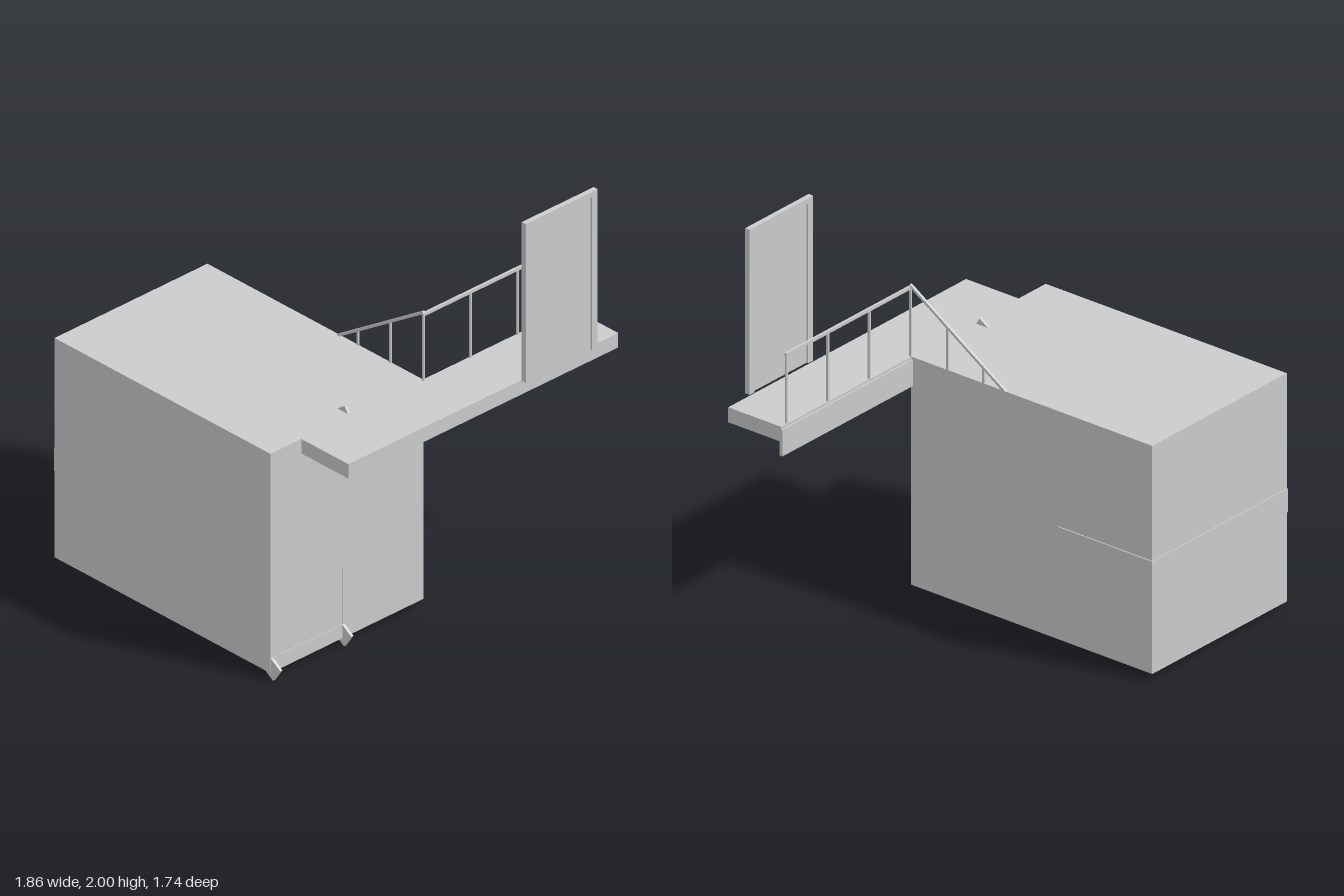
import * as THREE from 'three';

const material = new THREE.MeshStandardMaterial({ color: 0xcccccc, flatShading: true });

export function createModel() {
  const model = new THREE.Group();

  // Box given by its lower and upper limits on each axis
  const block = (name, [x0, x1], [y0, y1], [z0, z1], parent = model) => {
    const mesh = new THREE.Mesh(new THREE.BoxGeometry(x1 - x0, y1 - y0, z1 - z0), material);
    mesh.position.set((x0 + x1) / 2, (y0 + y1) / 2, (z0 + z1) / 2);
    mesh.name = name;
    parent.add(mesh);
    return mesh;
  };
  const group = (name) => {
    const g = new THREE.Group();
    g.name = name;
    model.add(g);
    return g;
  };

  // Building body and the walkway along its front
  block('building', [-0.93, 0.013], [0.035, 1.175], [-0.865, 0.535]);
  block('walkway', [-0.74, 0.925], [1.1, 1.175], [0.533, 0.84]);
  block('walkwayBeam', [0.01, 0.925], [1.03, 1.162], [0.525, 0.542]);

  // Shallow band around the back and part of the side
  const band = group('wallBand');
  block('backBand', [-0.93, 0.019], [0.483, 0.6], [-0.87, -0.864], band);
  block('sideBand', [0.012, 0.019], [0.483, 0.6], [-0.87, -0.32], band);

  // Door: frame on three sides with a thinner panel and narrow slits beside it
  const door = group('door');
  for (const x of [0.325, 0.735]) block('doorJamb', [x, x + 0.034], [1.175, 2], [0.845, 0.871], door);
  block('doorHead', [0.325, 0.769], [1.972, 2], [0.845, 0.871], door);
  block('doorPanel', [0.363, 0.731], [1.178, 1.973], [0.851, 0.865], door);

  // Straight railing along the walkway
  const railing = group('railing');
  block('topRail', [0.004, 0.885], [1.511, 1.526], [0.534, 0.547], railing);
  for (let i = 0; i < 4; i++) {
    const x = 0.01 + i * 0.29;
    block('railPost', [x - 0.005, x + 0.005], [1.17, 1.513], [0.535, 0.545], railing);
  }

  // Sloping handrail running back over the roof
  const start = new THREE.Vector2(0.542, 1.53), end = new THREE.Vector2(-0.015, 1.17);
  const slope = (end.y - start.y) / (end.x - start.x);
  const sloped = group('slopedRailing');
  const rail = new THREE.Mesh(new THREE.BoxGeometry(0.014, 0.013, start.distanceTo(end)), material);
  rail.name = 'slopedRail';
  rail.position.set(0.01, (start.y + end.y) / 2, (start.x + end.x) / 2);
  rail.rotation.x = -Math.atan(slope);
  sloped.add(rail);
  for (const z of [0.54, 0.325, 0.115]) {
    block('slopedPost', [0.005, 0.015], [1.17, start.y + slope * (z - start.x)], [z - 0.005, z + 0.005], sloped);
  }

  // Tilted brackets partly sunk into the wall and the roof
  const bracket = (name, x, y, z, tilt) => {
    const mesh = new THREE.Mesh(new THREE.BoxGeometry(0.014, 0.084, 0.072), material);
    mesh.name = name;
    mesh.position.set(x, y, z);
    mesh.rotation.x = tilt;
    model.add(mesh);
  };
  for (const x of [-0.921, -0.483]) bracket('footBracket', x, 0.055, 0.543, 0.59);
  bracket('roofBracket', -0.432, 1.152, 0.493, -0.59);

  // Plate between the lower brackets and the thin upright above it
  block('footPlate', [-0.921, -0.483], [0.04, 0.11], [0.53, 0.539]);
  block('wallUpright', [-0.486, -0.48], [0.04, 0.402], [0.53, 0.539]);

  return model;
}
